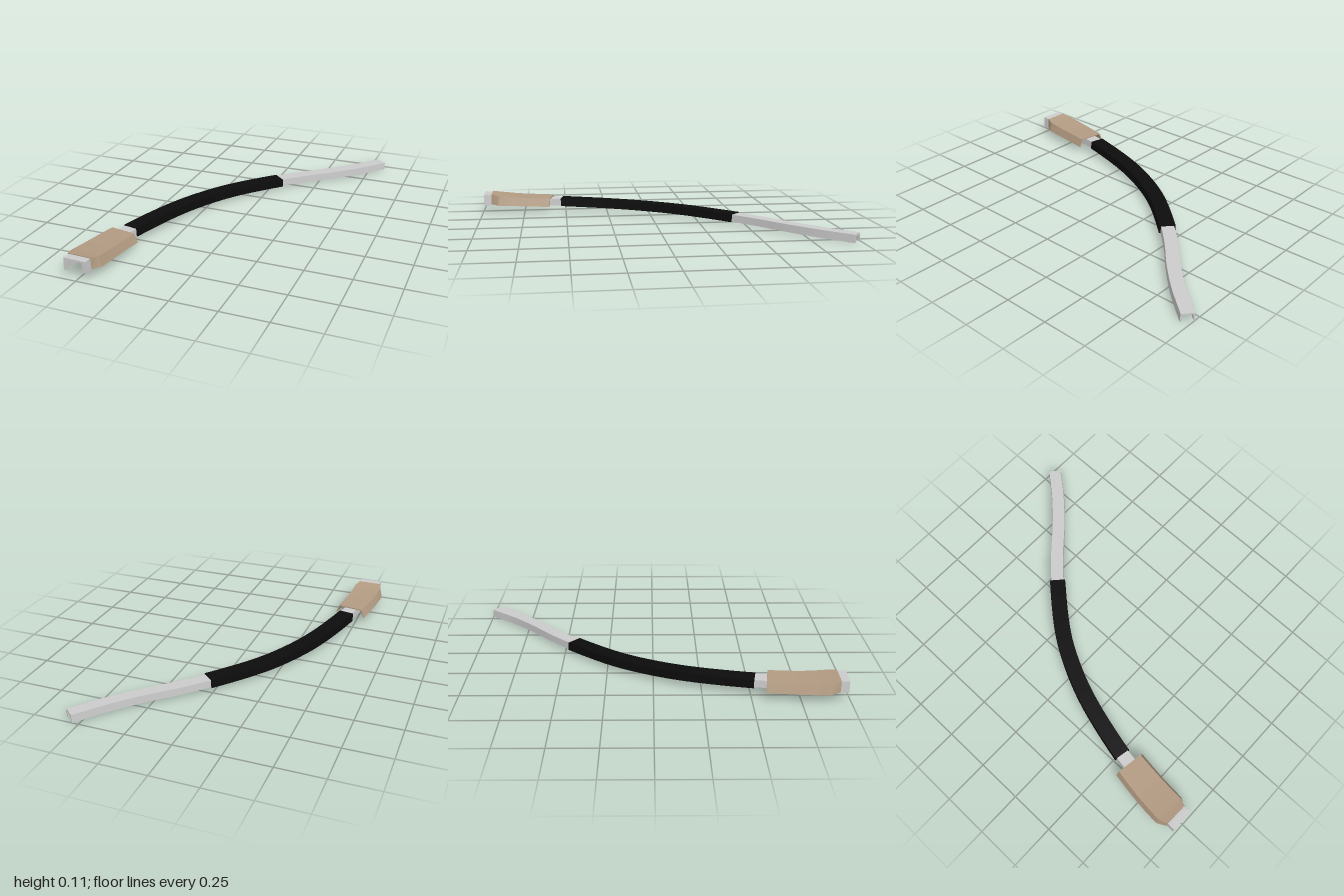
import * as THREE from 'three';
import { toCreasedNormals } from 'three/addons/utils/BufferGeometryUtils.js';

// Shared centreline on the ground plane, from the wide front end to the tail
const centreline = new THREE.CatmullRomCurve3([
  [-0.503, 0.99], [-0.5, 0.9], [-0.487, 0.75], [-0.462, 0.58], [-0.448, 0.5], [-0.365, 0.2],
  [-0.282, 0], [-0.165, -0.2], [0.04, -0.445], [0.17, -0.575], [0.3, -0.69], [0.43, -0.82], [0.565, -0.98],
].map(([x, z]) => new THREE.Vector3(x, 0, z)));
const path = centreline.getPoints(600);

// Centre point and sideways direction where the centreline crosses a given z
function frameAt(z) {
  let i = path.findIndex((p) => p.z <= z);
  i = Math.min(Math.max(i < 0 ? path.length - 1 : i, 1), path.length - 1);
  const a = path[i - 1], b = path[i];
  const f = (a.z - z) / (a.z - b.z);
  const c = a.clone().lerp(b, f);
  const t = b.clone().sub(a).normalize();
  return { c, side: new THREE.Vector3(-t.z, 0, t.x) };
}

// Inverted U channel swept along the centreline.
// Each station: [z, bottom y, top y, half width at bottom, half width at top]
function channel(name, color, wall, stations, step = 0.025) {
  const rings = [];
  const addRing = ([z, yb, yt, wb, wt]) => {
    const { c, side } = frameAt(z);
    const loop = [
      [wb, yb], [wt, yt], [-wt, yt], [-wb, yb],
      [-wb + wall, yb], [-wt + wall, yt - wall], [wt - wall, yt - wall], [wb - wall, yb],
    ];
    rings.push(loop.map(([s, y]) => [c.x + side.x * s, y, c.z + side.z * s]));
  };
  stations.forEach((s, i) => {
    if (i === 0) return addRing(s);
    const p = stations[i - 1];
    const n = Math.max(1, Math.round((p[0] - s[0]) / step));
    for (let k = 1; k <= n; k++) addRing(s.map((v, j) => p[j] + (v - p[j]) * k / n));
  });

  const pos = [];
  const quad = (a, b, c, d) => pos.push(...a, ...b, ...c, ...a, ...c, ...d);
  for (let i = 0; i < rings.length - 1; i++) {
    const r = rings[i], q = rings[i + 1];
    for (let k = 0; k < 8; k++) {
      const m = (k + 1) % 8;
      quad(r[k], q[k], q[m], r[m]);
    }
  }
  const first = rings[0], last = rings[rings.length - 1];
  for (const [a, b, c, d] of [[0, 1, 6, 7], [1, 2, 5, 6], [2, 3, 4, 5]]) {
    quad(first[a], first[b], first[c], first[d]);
    quad(last[d], last[c], last[b], last[a]);
  }
  const geo = new THREE.BufferGeometry();
  geo.setAttribute('position', new THREE.Float32BufferAttribute(pos, 3));
  const mesh = new THREE.Mesh(
    toCreasedNormals(geo, 0.4),
    new THREE.MeshStandardMaterial({ color, side: THREE.DoubleSide }),
  );
  mesh.name = name;
  return mesh;
}

export function createModel() {
  const group = new THREE.Group();
  group.name = 'curvedChannel';

  // Grey inner rail running the full length, widening into the front mouth
  group.add(channel('innerRail', 0xcccccc, 0.009, [
    [0.99, 0.047, 0.113, 0.065, 0.062],
    [0.945, 0.047, 0.111, 0.065, 0.062],
    [0.89, 0.047, 0.096, 0.055, 0.052],
    [0.78, 0.045, 0.085, 0.04, 0.038],
    [0.55, 0.041, 0.081, 0.038, 0.036],
    [-0.43, 0.018, 0.058, 0.037, 0.035],
    [-0.7, 0.01, 0.052, 0.037, 0.035],
    [-0.978, 0.001, 0.045, 0.037, 0.034],
  ]));

  // Black sleeve over the middle of the rail
  group.add(channel('middleSleeve', 0x0c0c0c, 0.008, [
    [0.523, 0.038, 0.085, 0.045, 0.043],
    [0, 0.026, 0.072, 0.045, 0.043],
    [-0.45, 0.016, 0.061, 0.045, 0.043],
  ]));

  // Tan cover with flared sides, tapering onto the front mouth
  group.add(channel('frontCover', 0xb39b82, 0.006, [
    [0.945, 0.054, 0.115, 0.068, 0.065],
    [0.9, 0.05, 0.106, 0.095, 0.08],
    [0.82, 0.047, 0.098, 0.095, 0.079],
    [0.75, 0.045, 0.093, 0.094, 0.078],
    [0.585, 0.041, 0.089, 0.091, 0.073],
  ]));

  // Small lips turned inward at the two sides of the front mouth
  for (const s of [-1, 1]) {
    const lip = new THREE.Mesh(
      new THREE.BoxGeometry(0.022, 0.06, 0.008),
      new THREE.MeshStandardMaterial({ color: 0xcccccc }),
    );
    lip.name = s > 0 ? 'mouthLipLeft' : 'mouthLipRight';
    lip.position.set(-0.503 + s * 0.05, 0.077, 0.984);
    group.add(lip);
  }
  return group;
}
